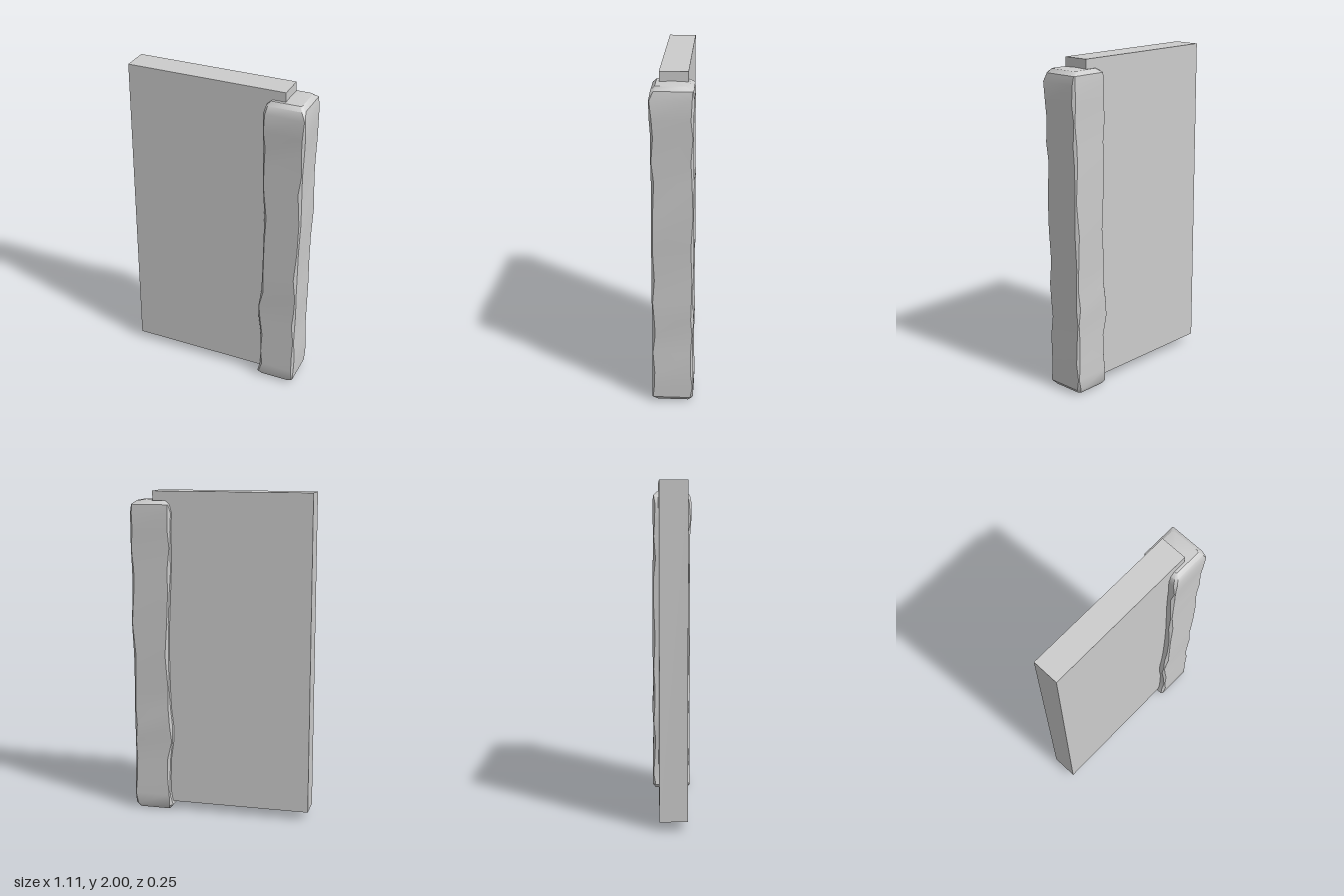
import * as THREE from 'three';
import { toCreasedNormals } from 'three/addons/utils/BufferGeometryUtils.js';

const grey = new THREE.MeshStandardMaterial({ color: 0xcccccc });

// Outline of the hewn post by height: y, left x, right x, back z, front z
const levels = [
  [0.005, 0.320, 0.520, -0.105, 0.105],
  [0.03, 0.299, 0.540, -0.122, 0.121],
  [0.10, 0.314, 0.542, -0.123, 0.121],
  [0.20, 0.317, 0.544, -0.122, 0.120],
  [0.33, 0.313, 0.538, -0.120, 0.119],
  [0.45, 0.296, 0.536, -0.120, 0.117],
  [0.55, 0.296, 0.540, -0.125, 0.117],
  [0.66, 0.309, 0.540, -0.119, 0.120],
  [0.80, 0.315, 0.537, -0.121, 0.121],
  [1.00, 0.318, 0.541, -0.124, 0.120],
  [1.20, 0.315, 0.547, -0.123, 0.119],
  [1.40, 0.306, 0.541, -0.123, 0.119],
  [1.52, 0.301, 0.544, -0.120, 0.120],
  [1.66, 0.299, 0.546, -0.119, 0.119],
  [1.76, 0.301, 0.550, -0.120, 0.126],
  [1.87, 0.296, 0.549, -0.121, 0.128],
  [1.92, 0.310, 0.540, -0.118, 0.118],
  [1.943, 0.335, 0.515, -0.095, 0.095],
];

// Eight-sided ring with corners chipped by an uneven amount
function ring([y, x0, x1, z0, z1], level) {
  const chip = (k) => 0.011 + 0.007 * Math.sin(level * 2.3 + k * 1.9);
  const [a, b, c, d] = [0, 1, 2, 3].map(chip);
  return [
    [x1, z0 + a], [x1, z1 - b], [x1 - b, z1], [x0 + c, z1],
    [x0, z1 - c], [x0, z0 + d], [x0 + d, z0], [x1 - a, z0],
  ].map(([x, z]) => [x, y, z]);
}

function postGeometry() {
  const n = 8;
  const top = levels.length - 1;
  const positions = levels.flatMap((l, i) => ring(l, i).flat());
  const index = [];
  for (let i = 0; i < top; i++) {
    for (let j = 0; j < n; j++) {
      const a = i * n + j, b = i * n + (j + 1) % n;
      index.push(a, a + n, b, b, a + n, b + n);
    }
  }
  // Close the two ends around a centre point
  const low = levels.length * n, high = low + 1;
  positions.push(0.42, 0, 0, 0.43, 1.947, 0);
  for (let j = 0; j < n; j++) {
    const k = (j + 1) % n;
    index.push(low, j, k, high, top * n + k, top * n + j);
  }
  const geometry = new THREE.BufferGeometry();
  geometry.setAttribute('position', new THREE.Float32BufferAttribute(positions, 3));
  geometry.setIndex(index);
  return toCreasedNormals(geometry, 0.6);
}

export function createModel() {
  const group = new THREE.Group();

  // Plain wall slab, set into the post
  const wall = new THREE.Mesh(new THREE.BoxGeometry(0.975, 1.95, 0.163), grey);
  wall.position.set(-0.0725, 1.025, -0.003);
  wall.name = 'wallPanel';

  // Rough timber post at the wall's end
  const post = new THREE.Mesh(postGeometry(), grey);
  post.name = 'endPost';

  group.add(wall, post);
  return group;
}
